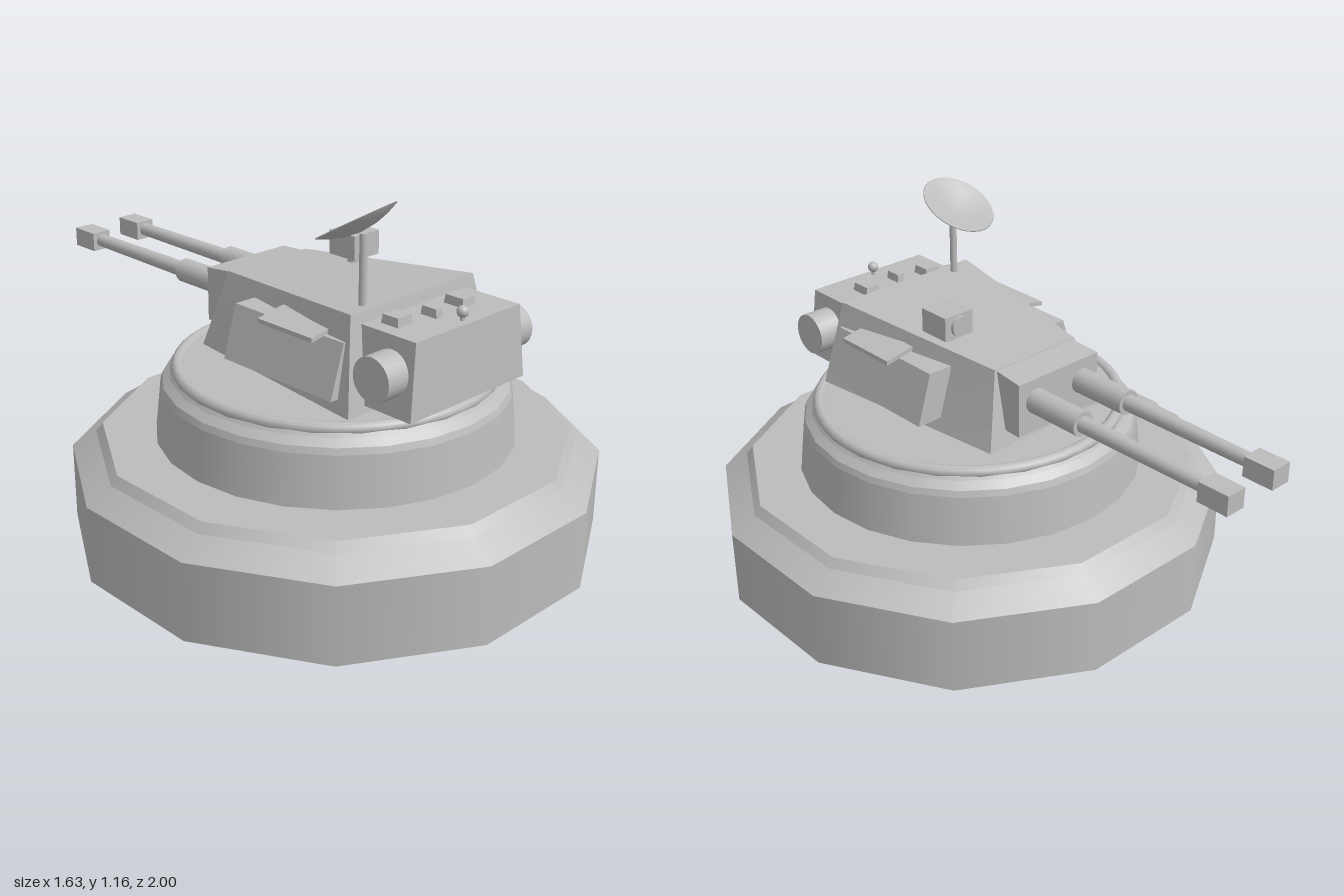
import * as THREE from 'three';

const grey = new THREE.MeshStandardMaterial({ color: 0xbcbcbc });
grey.name = 'armour grey';
const CZ = 0.185; // centre line of the round base

export function createModel() {
  const root = new THREE.Group();
  root.name = 'gunTurret';

  const add = (name, geo, x = 0, y = 0, z = 0) => {
    const m = new THREE.Mesh(geo, grey);
    m.name = name;
    m.position.set(x, y, z);
    root.add(m);
    return m;
  };
  const box = (name, w, h, d, x, y, z) => add(name, new THREE.BoxGeometry(w, h, d), x, y, z);

  // Box whose eight corners are placed by a rule of their signs
  const block = (name, rule) => {
    const g = new THREE.BoxGeometry(2, 2, 2);
    const p = g.attributes.position;
    for (let i = 0; i < p.count; i++) p.setXYZ(i, ...rule(p.getX(i), p.getY(i), p.getZ(i)));
    g.computeVertexNormals();
    return add(name, g);
  };

  // Stack of open bands with crisp edges between them, plus end caps
  const stack = (name, profile, sides, turn) => {
    for (let i = 0; i + 1 < profile.length; i++) {
      const [r0, y0] = profile[i], [r1, y1] = profile[i + 1];
      const g = new THREE.CylinderGeometry(r1, r0, y1 - y0, sides, 1, true);
      add(name + 'Band', g, 0, (y0 + y1) / 2, CZ).rotation.y = turn;
    }
    const cap = (r, y, up) => {
      const g = new THREE.CircleGeometry(r, sides, Math.PI / 2);
      g.rotateX(up ? -Math.PI / 2 : Math.PI / 2);
      add(name + 'Cap', g, 0, y, CZ).rotation.y = turn;
    };
    cap(profile[0][0], profile[0][1], false);
    cap(...profile[profile.length - 1], true);
  };

  // Twelve-sided foundation and round drum
  stack('foundation', [[0.843, 0], [0.843, 0.25], [0.765, 0.302], [0.743, 0.33]], 12, Math.PI / 12);
  stack('drum', [[0.57, 0.33], [0.552, 0.49], [0.545, 0.51], [0.522, 0.531], [0.505, 0.555]], 24, 0);
  const ring = new THREE.TorusGeometry(0.495, 0.02, 10, 48);
  ring.rotateX(Math.PI / 2);
  add('turretRing', ring, 0, 0.548, CZ);

  // Tapered hull, gun mantlet and rear locker
  block('hull', (x, y, z) => {
    const rear = z > 0;
    if (y > 0) return rear ? [x * 0.265, 0.855, 0.5] : [x * 0.168, 0.81, -0.125];
    return rear ? [x * 0.32, 0.568, 0.55] : [x * 0.235, 0.568, -0.178];
  });
  block('mantlet', (x, y, z) => [x * (z > 0 ? 0.16 : 0.166),
    y > 0 ? (z > 0 ? 0.808 : 0.797) : 0.62, z > 0 ? -0.1 : -0.23]);
  block('rearLocker', (x, y, z) => [x * (y > 0 ? 0.226 : 0.25),
    y > 0 ? 0.82 : 0.59, z > 0 ? (y > 0 ? 0.71 : 0.72) : 0.47]);

  for (const s of [1, -1]) {
    // Sloped side armour with a small flap above it
    block('sideArmour', (x, y, z) => {
      const outer = x === s;
      const zz = z > 0 ? 0.495 : 0.04;
      if (y > 0) return [s * (outer ? 0.285 : 0.18), 0.775, zz];
      return [s * (outer ? 0.335 : 0.2), 0.61, zz];
    });
    block('sideFlap', (x, y, z) => {
      const outer = x === s;
      return [s * (outer ? 0.332 : 0.23), (outer ? 0.772 : 0.79) + (y > 0 ? 0.007 : -0.007),
        z > 0 ? 0.415 : 0.19];
    });

    // Round canister on each side of the locker
    const can = new THREE.CylinderGeometry(0.068, 0.068, 0.1, 24);
    can.rotateZ(Math.PI / 2);
    add('canister', can, s * 0.265, 0.712, 0.628);

    // Gun: sleeve, barrel and square muzzle
    const tube = (name, r0, r1, z0, z1) => {
      const g = new THREE.CylinderGeometry(r0, r1, z0 - z1, 20);
      g.rotateX(Math.PI / 2);
      add(name, g, s * 0.097, 0.724, (z0 + z1) / 2);
    };
    tube('gunSleeve', 0.04, 0.04, -0.22, -0.43);
    tube('gunBarrel', 0.026, 0.022, -0.42, -0.92);
    box('muzzle', 0.07, 0.064, 0.105, s * 0.097, 0.722, -0.9475);
  }

  // Sight on the roof with a round lens facing the guns
  box('sight', 0.11, 0.078, 0.11, 0.152, 0.891, 0.11);
  add('sightPost', new THREE.CylinderGeometry(0.02, 0.02, 0.05, 12), 0.152, 0.84, 0.11);
  const lens = new THREE.CylinderGeometry(0.033, 0.033, 0.014, 20);
  lens.rotateX(Math.PI / 2);
  add('sightLens', lens, 0.152, 0.891, 0.05);

  // Fittings on the locker roof
  const fittings = [[0.065, 0.065, -0.147, 0.568], [0.03, 0.06, -0.03, 0.595], [0.055, 0.075, 0.103, 0.585]];
  for (const [w, d, x, z] of fittings) {
    block('roofFitting', (sx, sy, sz) => {
      const k = sy > 0 ? 0.44 : 0.5;
      return [x + sx * w * k, sy > 0 ? 0.847 : 0.815, z + sz * d * k];
    });
  }
  add('beacon', new THREE.SphereGeometry(0.018, 16, 12), 0, 0.847, 0.682);
  add('beaconStem', new THREE.CylinderGeometry(0.007, 0.007, 0.03, 8), 0, 0.828, 0.682);

  // Mast and tilted shallow dish
  add('mast', new THREE.CylinderGeometry(0.012, 0.012, 0.225, 12), -0.175, 0.9525, 0.46);
  const bowl = [[0, 0], [0.05, 0.006], [0.09, 0.018], [0.126, 0.034],
    [0.124, 0.037], [0.09, 0.026], [0.05, 0.014], [0, 0.008]];
  const dish = add('dish', new THREE.LatheGeometry(bowl.map(p => new THREE.Vector2(...p)), 32),
    -0.177, 1.066, 0.452);
  dish.rotation.set(-0.52, 0, 0.1);

  return root;
}
